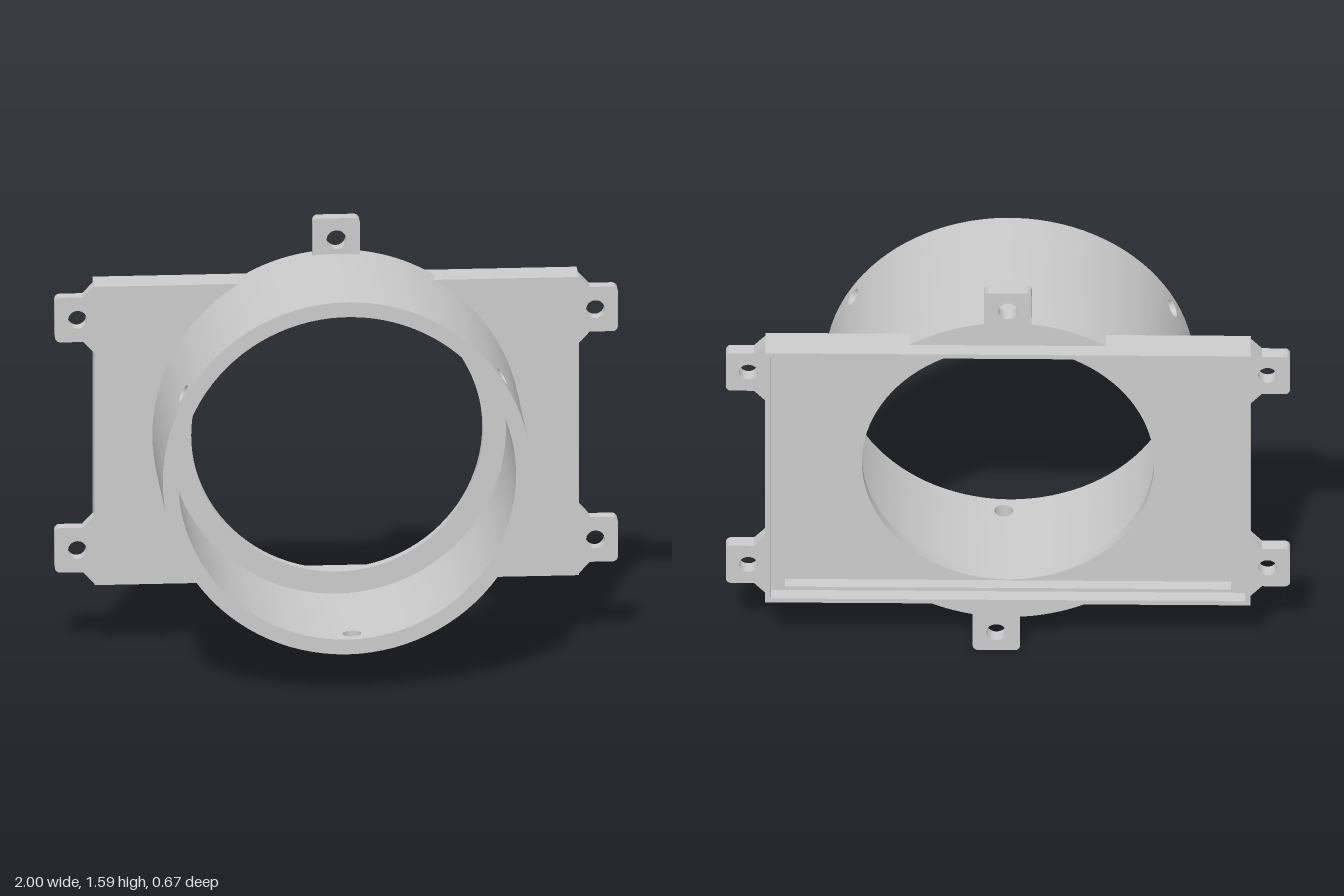
import * as THREE from 'three';
import { toCreasedNormals } from 'three/addons/utils/BufferGeometryUtils.js';

const CY = 0.803;                       // height of the duct axis
const R_OUT = 0.655, R_IN = 0.6, R_HOLE = 0.518;
const Z_FRONT = 0.335, Z_BAND = 0.2;    // the front band carries the screw holes
const Z_FLOOR = -0.24, Z_TAB = -0.28;   // back faces of the floor and of the tabs
const W = 0.86, H = 0.555;              // half size of the plate

export function createModel() {
  const group = new THREE.Group();
  const grey = new THREE.MeshStandardMaterial({ color: 0xcbcbcb });
  grey.name = 'light grey';

  function add(name, geometry, y = CY) {
    const mesh = new THREE.Mesh(toCreasedNormals(geometry, 0.5), grey);
    mesh.name = name;
    mesh.position.y = y;
    group.add(mesh);
    return mesh;
  }
  const extrude = (shape, z0, z1) =>
    new THREE.ExtrudeGeometry(shape, { depth: z1 - z0, bevelEnabled: false, curveSegments: 48 }).translate(0, 0, z0);
  const rect = (w, h, Type = THREE.Shape) =>
    new Type([[-w, -h], [w, -h], [w, h], [-w, h]].map(p => new THREE.Vector2(...p)));
  const circle = (x, y, r) => new THREE.Path().absarc(x, y, r, 0, Math.PI * 2, true);
  // closed (radius, z) profile turned about the duct axis, from angle a over length l
  const turn = (profile, segments, a = 0, l = Math.PI * 2) =>
    new THREE.LatheGeometry(profile.map(p => new THREE.Vector2(...p)), segments, a + Math.PI / 2, l).rotateX(Math.PI / 2);

  // Duct with an inner lip at the back
  add('duct', turn([[R_OUT, Z_FLOOR], [R_OUT, Z_BAND], [R_IN, Z_BAND], [R_IN, -0.2],
    [R_HOLE, -0.2], [R_HOLE, Z_FLOOR], [R_OUT, Z_FLOOR]], 96));

  // Front band: three arcs joined by patches, each with a radial screw hole
  const half = 0.1, third = Math.PI * 2 / 3;
  for (let i = 0; i < 3; i++) {
    const angle = THREE.MathUtils.degToRad(32) + i * third;
    add('frontBand', turn([[R_OUT, Z_BAND], [R_OUT, Z_FRONT], [R_IN, Z_FRONT], [R_IN, Z_BAND], [R_OUT, Z_BAND]],
      30, angle + half, third - 2 * half));
    add('screwHole', holePatch(angle, half, 0.033));
  }

  // Duct segments that stand out above and below the plate
  const a = Math.asin((H - 0.01) / R_OUT);
  const segment = new THREE.Shape().absarc(0, 0, R_OUT, a, Math.PI - a, false);
  for (const turned of [0, Math.PI])
    add('ductSegment', extrude(segment, Z_TAB, Z_FLOOR)).rotation.z = turned;

  // Plate: floor with the opening and a stepped rim behind
  const floor = rect(W, H);
  floor.holes.push(circle(0, 0, R_HOLE));
  add('plateFloor', extrude(floor, Z_FLOOR, -0.215));

  for (const [name, w, h, z0, z1] of [['rimLedge', 0.07, 0.033, -0.285, Z_FLOOR], ['rimLip', 0.02, 0.018, -0.335, -0.285]]) {
    const frame = rect(W, H);
    frame.holes.push(rect(W - w, H - h, THREE.Path));
    add(name, extrude(frame, z0, z1));
  }

  // Top and bottom tabs, rounded at the outer end
  function endTab(name, x, y, turned) {
    const s = new THREE.Shape(), w = 0.084, r = 0.02, top = 0.08;
    s.moveTo(-w, -0.09);
    s.lineTo(w, -0.09);
    s.lineTo(w, top - r);
    s.absarc(w - r, top - r, r, 0, Math.PI / 2, false);
    s.absarc(r - w, top - r, r, Math.PI / 2, Math.PI, false);
    s.holes.push(circle(0, 0, 0.035));
    const tab = add(name, extrude(s, Z_TAB, -0.23), y);
    tab.position.x = x;
    tab.rotation.z = turned;
  }
  endTab('topTab', 0, 1.51, 0);
  endTab('bottomTab', 0.041, 0.08, Math.PI);

  // Side tabs with sloped roots, turned round for the other side
  const s = new THREE.Shape(), r = 0.02, h = 0.083, root = 0.126;
  s.moveTo(-0.075, -root);
  s.lineTo(-0.06, -root);
  s.lineTo(-0.02, -h);
  s.absarc(0.08 - r, -h + r, r, -Math.PI / 2, 0, false);
  s.absarc(0.08 - r, h - r, r, 0, Math.PI / 2, false);
  s.lineTo(-0.02, h);
  s.lineTo(-0.06, root);
  s.lineTo(-0.075, root);
  s.holes.push(circle(0, 0, 0.033));
  for (const side of [1, -1]) for (const y of [1.232, 0.375]) {
    const tab = add('sideTab', extrude(s, Z_TAB, -0.23), y);
    tab.position.x = side * 0.92;
    tab.rotation.z = side > 0 ? 0 : Math.PI;
  }
  return group;
}

// Curved block of the front band with a round hole through it
function holePatch(angle, half, r) {
  const n = 32, zMid = (Z_FRONT + Z_BAND) / 2, hz = (Z_FRONT - Z_BAND) / 2;
  const stations = [[R_OUT, true], [R_OUT, false], [R_IN, false], [R_IN, true], [R_OUT, true]];
  const pos = [], index = [];
  stations.forEach(([R, square], j) => {
    for (let i = 0; i < n; i++) {
      const t = i / n * Math.PI * 2, c = Math.cos(t), s = Math.sin(t);
      const k = 1 / Math.max(Math.abs(c), Math.abs(s));
      const th = angle + (square ? half * c * k : Math.asin(r * c / R));
      pos.push(R * Math.cos(th), R * Math.sin(th), zMid + (square ? hz * s * k : r * s));
      if (j === 0) continue;
      const p = (j - 1) * n + i, q = (j - 1) * n + (i + 1) % n;
      index.push(p, q, p + n, q, q + n, p + n);
    }
  });
  const g = new THREE.BufferGeometry();
  g.setAttribute('position', new THREE.Float32BufferAttribute(pos, 3));
  g.setIndex(index);
  return g;
}
